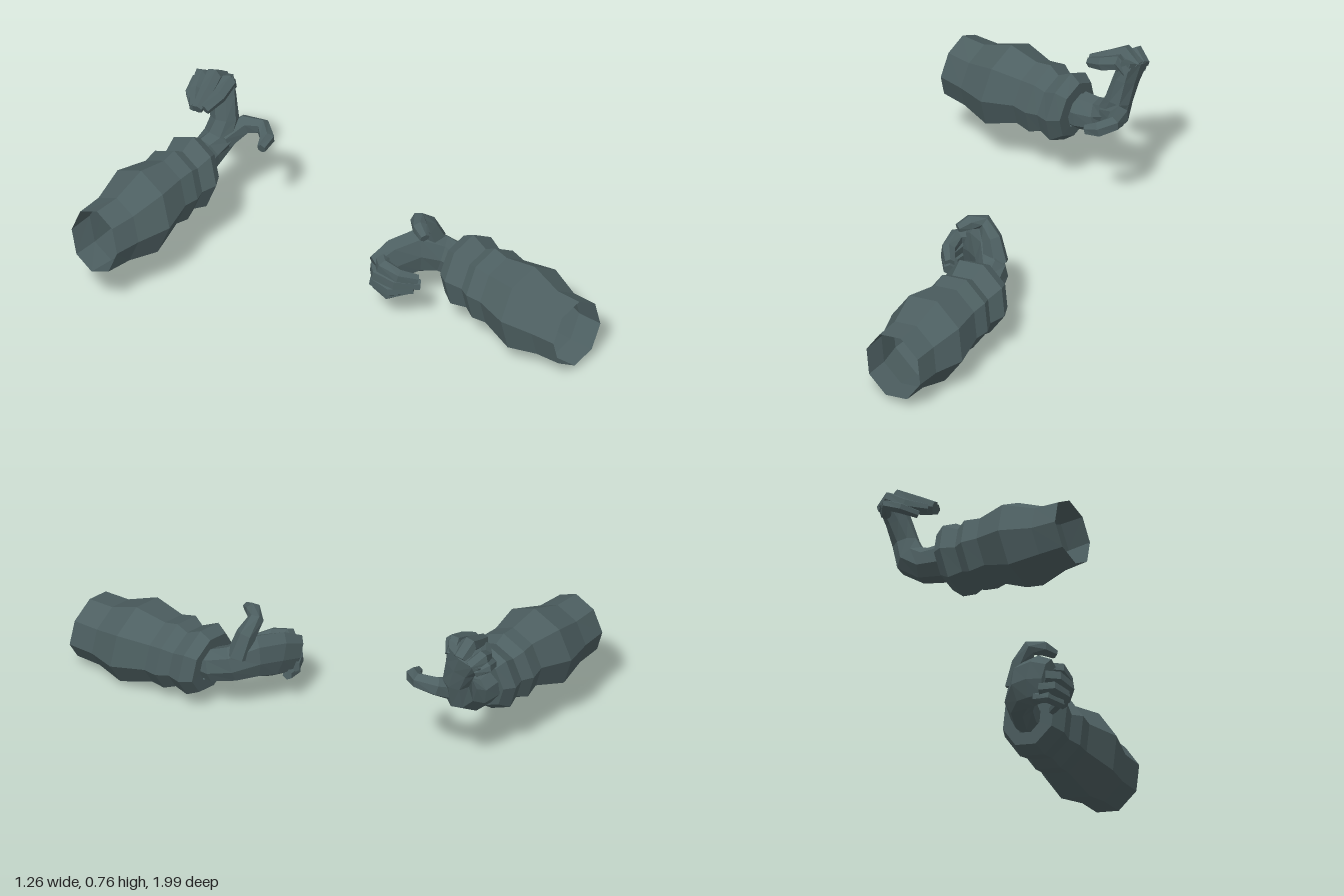
import * as THREE from 'three';

const cloth = new THREE.MeshStandardMaterial({ color: 0x4d5f61, flatShading: true, side: THREE.DoubleSide });
cloth.name = 'slate';

// Lofts rings [x, y, z, halfWidth, halfDepth] along a path; "wide" is the width direction.
function loft(name, rings, { wide, sides = 6, axis = null, startCap = true, endCap = true }) {
  const hint = new THREE.Vector3(...wide);
  const centres = rings.map(r => new THREE.Vector3(r[0], r[1], r[2]));
  const pos = [], index = [];
  rings.forEach((r, j) => {
    const before = centres[Math.max(j - 1, 0)];
    const after = centres[Math.min(j + 1, rings.length - 1)];
    const t = axis ? new THREE.Vector3(...axis) : after.clone().sub(before);
    t.normalize();
    const u = hint.clone().addScaledVector(t, -hint.dot(t)).normalize();
    const v = t.clone().cross(u);
    for (let i = 0; i < sides; i++) {
      const a = (i / sides) * Math.PI * 2;
      const p = centres[j].clone()
        .addScaledVector(u, Math.cos(a) * r[3])
        .addScaledVector(v, Math.sin(a) * r[4]);
      pos.push(p.x, p.y, p.z);
    }
  });
  for (let j = 0; j < rings.length - 1; j++) {
    for (let i = 0; i < sides; i++) {
      const k = (i + 1) % sides;
      const a = j * sides + i, b = j * sides + k;
      index.push(a, b, b + sides, a, b + sides, a + sides);
    }
  }
  const last = (rings.length - 1) * sides;
  for (let i = 1; i < sides - 1; i++) {
    if (startCap) index.push(0, i + 1, i);
    if (endCap) index.push(last, last + i, last + i + 1);
  }
  const indexed = new THREE.BufferGeometry();
  indexed.setAttribute('position', new THREE.Float32BufferAttribute(pos, 3));
  indexed.setIndex(index);
  const geo = indexed.toNonIndexed();
  geo.computeVertexNormals();
  const mesh = new THREE.Mesh(geo, cloth);
  mesh.name = name;
  return mesh;
}

// One arm: open octagonal sleeve, wrist and palm, four curled fingers, thumb.
function makeArm(name, spec) {
  const arm = new THREE.Group();
  arm.name = name;
  arm.add(loft('sleeve', spec.sleeve, {
    wide: spec.sleeveUp, axis: spec.sleeveAxis, sides: 8, startCap: false, endCap: false,
  }));
  arm.add(loft('palm', spec.palm, { wide: spec.palmWide, sides: 8, startCap: false }));
  const names = ['indexFinger', 'middleFinger', 'ringFinger', 'littleFinger'];
  const radii = [0.034, 0.036, 0.031, 0.025];
  const scale = [1, 1.05, 0.95, 0.7];
  spec.fingers.forEach((path, f) => {
    const rings = path.map((p, i) => [...p, radii[f] * scale[i], radii[f] * scale[i]]);
    arm.add(loft(names[f], rings, { wide: spec.palmWide }));
  });
  arm.add(loft('thumb', spec.thumb, { wide: spec.thumbWide }));
  return arm;
}

export function createModel() {
  const model = new THREE.Group();
  model.name = 'pairOfArms';

  // Rear arm: sleeve runs along +x, hand raised
  model.add(makeArm('rearArm', {
    sleeveUp: [0, 1, 0],
    sleeveAxis: [1, -0.11, 0],
    sleeve: [
      [-0.615, 0.375, -0.80, 0.152, 0.128],
      [-0.495, 0.375, -0.795, 0.157, 0.138],
      [-0.35, 0.389, -0.79, 0.204, 0.18],
      [-0.205, 0.408, -0.785, 0.159, 0.138],
      [-0.135, 0.403, -0.79, 0.173, 0.148],
      [-0.085, 0.403, -0.785, 0.144, 0.126],
      [-0.02, 0.41, -0.785, 0.176, 0.147],
      [0.03, 0.415, -0.785, 0.137, 0.118],
      [0.03, 0.405, -0.80, 0.085, 0.075],
    ],
    palmWide: [0, 0.3, 1],
    palm: [
      [-0.04, 0.405, -0.80, 0.07, 0.08],
      [0.04, 0.403, -0.81, 0.075, 0.085],
      [0.13, 0.41, -0.82, 0.066, 0.076],
      [0.205, 0.455, -0.815, 0.072, 0.072],
      [0.235, 0.54, -0.815, 0.066, 0.056],
      [0.25, 0.63, -0.845, 0.078, 0.046],
      [0.265, 0.71, -0.88, 0.095, 0.038],
    ],
    fingers: [
      [[0.27, 0.69, -0.82], [0.24, 0.73, -0.80], [0.17, 0.70, -0.79], [0.09, 0.67, -0.80]],
      [[0.285, 0.69, -0.87], [0.225, 0.735, -0.87], [0.16, 0.70, -0.85], [0.075, 0.665, -0.83]],
      [[0.28, 0.67, -0.92], [0.23, 0.70, -0.945], [0.17, 0.665, -0.92], [0.09, 0.65, -0.86]],
      [[0.26, 0.64, -0.93], [0.225, 0.66, -0.97], [0.17, 0.64, -0.95], [0.12, 0.62, -0.89]],
    ],
    thumbWide: [0, 1, 0],
    thumb: [
      [0.20, 0.46, -0.79, 0.055, 0.05],
      [0.29, 0.505, -0.745, 0.045, 0.042],
      [0.315, 0.515, -0.67, 0.035, 0.034],
      [0.28, 0.50, -0.615, 0.036, 0.034],
      [0.225, 0.485, -0.60, 0.024, 0.02],
    ],
  }));

  // Front arm: sleeve runs along -z, hand turned toward -x
  model.add(makeArm('frontArm', {
    sleeveUp: [0.2, 0.98, 0],
    sleeveAxis: [0, -0.09, -1],
    sleeve: [
      [0.445, 0.183, 0.985, 0.15, 0.15],
      [0.437, 0.183, 0.87, 0.153, 0.153],
      [0.433, 0.199, 0.74, 0.196, 0.196],
      [0.43, 0.215, 0.59, 0.157, 0.157],
      [0.427, 0.222, 0.525, 0.168, 0.168],
      [0.427, 0.222, 0.475, 0.142, 0.142],
      [0.424, 0.236, 0.405, 0.167, 0.167],
      [0.426, 0.238, 0.352, 0.137, 0.137],
      [0.435, 0.24, 0.352, 0.08, 0.075],
    ],
    palmWide: [0.15, 1, 0],
    palm: [
      [0.44, 0.24, 0.42, 0.075, 0.062],
      [0.435, 0.24, 0.34, 0.08, 0.066],
      [0.405, 0.265, 0.26, 0.088, 0.066],
      [0.33, 0.29, 0.19, 0.108, 0.062],
      [0.24, 0.27, 0.145, 0.11, 0.052],
      [0.155, 0.24, 0.115, 0.09, 0.036],
    ],
    fingers: [
      [[0.17, 0.30, 0.13], [0.137, 0.30, 0.165], [0.15, 0.28, 0.24], [0.205, 0.26, 0.30]],
      [[0.17, 0.25, 0.105], [0.135, 0.25, 0.14], [0.14, 0.245, 0.23], [0.21, 0.235, 0.31]],
      [[0.19, 0.20, 0.10], [0.14, 0.20, 0.12], [0.135, 0.195, 0.20], [0.20, 0.20, 0.28]],
      [[0.22, 0.17, 0.11], [0.16, 0.16, 0.115], [0.145, 0.155, 0.18], [0.22, 0.16, 0.235]],
    ],
    thumbWide: [1, 0.5, 0],
    thumb: [
      [0.40, 0.31, 0.23, 0.06, 0.05],
      [0.365, 0.41, 0.215, 0.048, 0.042],
      [0.315, 0.465, 0.205, 0.036, 0.034],
      [0.275, 0.47, 0.25, 0.034, 0.034],
      [0.25, 0.455, 0.30, 0.022, 0.02],
    ],
  }));

  return model;
}
